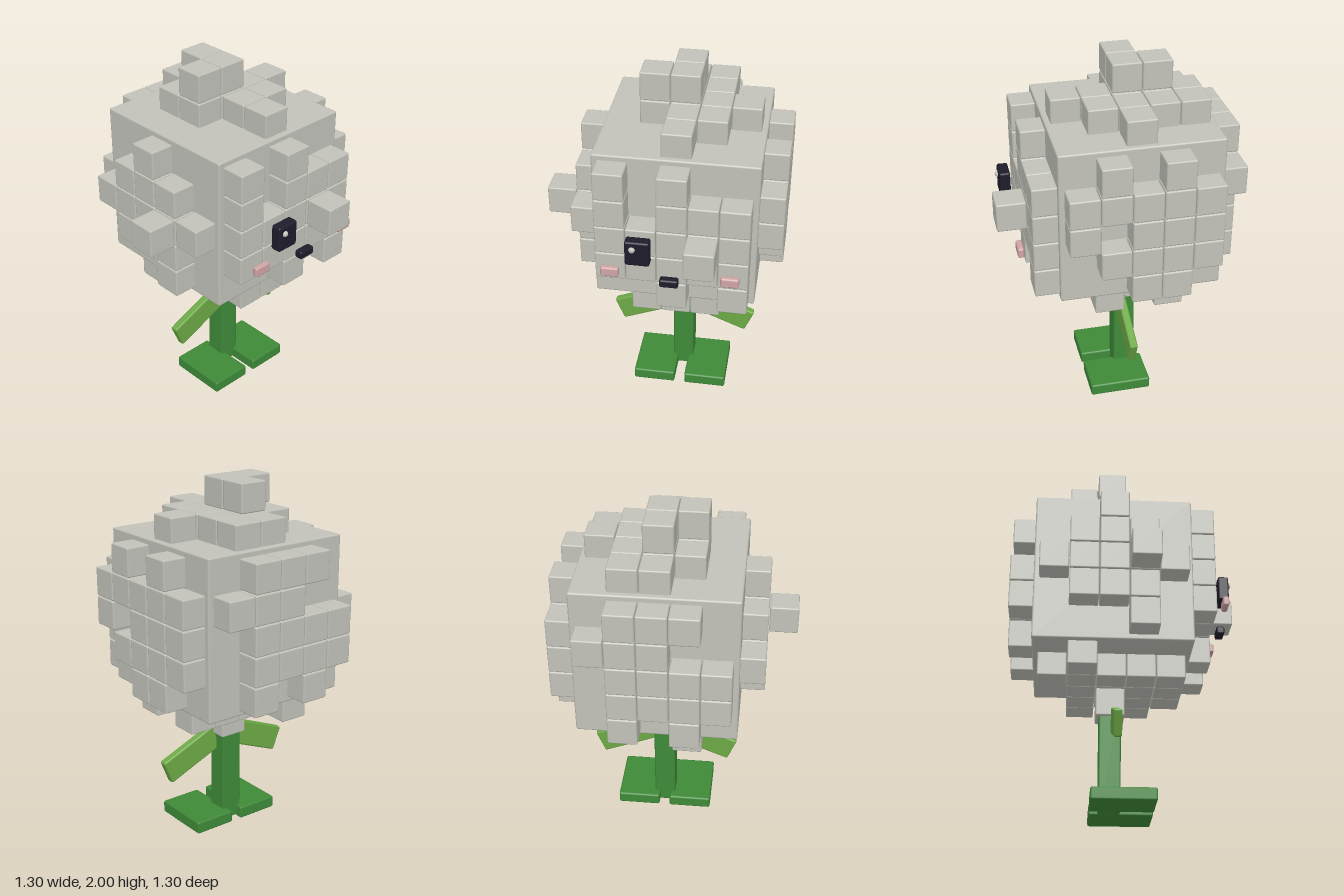
import * as THREE from 'three';
import { RoundedBoxGeometry } from 'three/addons/geometries/RoundedBoxGeometry.js';

const material = (name, color) => {
  const m = new THREE.MeshStandardMaterial({ color });
  m.name = name;
  return m;
};

// Axis of the plant and pitch of the block grid
const CX = 0.0815, CY = 1.267, CZ = -0.0815, PITCH = 0.163;

// 5 x 5 masks, '#' marks a block standing on the core.
// Side faces: rows run from top to bottom, columns along +x or +z.
// Top and bottom: rows run from back to front, columns along +x.
const FACES = {
  front: ['#.#..', '#.###', '#####', '#####', '..#.#'],
  back: ['.###.', '..###', '####.', '####.', '.#.#.'],
  left: ['.#.#.', '#####', '###.#', '####.', '.##..'],
  right: ['..#..', '.###.', '#####', '.###.', '...#.'],
  top: ['..##.', '.###.', '.####', '..##.', '..#..'],
  bottom: ['.#...', '#####', '.###.', '.####', '.###.'],
};

// Mask position to grid cell
const CELLS = {
  front: (c, r) => [c, -r, 3],
  back: (c, r) => [c, -r, -3],
  left: (c, r) => [3, -r, c],
  right: (c, r) => [-3, -r, c],
  top: (c, r) => [c, 3, r],
  bottom: (c, r) => [c, -3, r],
};

// Blocks of the outermost layer
const OUTER = [[-1, 4, 0], [0, 4, 0], [0, 4, -1], [1, 0, 4], [-4, 0, 1], [0, -4, 0]];

export function createModel() {
  const model = new THREE.Group();
  model.name = 'blockFlower';

  const grey = material('pale grey', 0xc2c2ba);
  const stemGreen = material('stem green', 0x3e8a38);
  const leafGreen = material('leaf green', 0x6ca945);
  const dark = material('dark navy', 0x1e1c2a);
  const pink = material('blush pink', 0xd0a5a5);

  const add = (parent, name, geometry, mat, x, y, z) => {
    const mesh = new THREE.Mesh(geometry, mat);
    mesh.name = name;
    mesh.position.set(x, y, z);
    parent.add(mesh);
    return mesh;
  };
  const box = (w, h, d, r = 0.01) => new RoundedBoxGeometry(w, h, d, 1, r);

  // Head: core with a shell of blocks
  const head = new THREE.Group();
  head.name = 'head';
  model.add(head);
  add(head, 'core', box(0.874, 0.872, 0.874), grey, CX, CY, CZ);

  const blockGeometry = box(0.16, 0.16, 0.16, 0.008);
  const addBlock = (parent, name, [i, j, k]) =>
    add(parent, name, blockGeometry, grey, CX + i * PITCH, CY + j * PITCH, CZ + k * PITCH);

  for (const face of Object.keys(FACES)) {
    const group = new THREE.Group();
    group.name = face + 'Blocks';
    head.add(group);
    FACES[face].forEach((row, r) => {
      [...row].forEach((mark, c) => {
        if (mark === '#') addBlock(group, face + 'Block', CELLS[face](c - 2, r - 2));
      });
    });
  }
  OUTER.forEach((cell) => addBlock(head, 'outerBlock', cell));

  // Face details, mirrored about the plant's axis
  for (const [side, s] of [['left', 1], ['right', -1]]) {
    add(model, side + 'Eye', box(0.13, 0.145, 0.06), dark, CX + s * 0.163, 1.267, 0.555);
    add(model, side + 'Cheek', box(0.098, 0.056, 0.034), pink, CX + s * 0.316, 1.117, 0.545);
    add(model, side + 'EyeGlint', new THREE.SphereGeometry(0.018, 12, 8), grey,
      CX + s * 0.163 - 0.025, 1.295, 0.583);
  }
  add(model, 'mouth', box(0.1, 0.046, 0.046), dark, CX, 1.088, 0.557);

  // Stem, feet and drooping leaves
  add(model, 'stem', box(0.122, 0.59, 0.122), stemGreen, CX, 0.3, CZ);
  for (const [side, s] of [['left', 1], ['right', -1]]) {
    add(model, side + 'Foot', box(0.245, 0.07, 0.35), stemGreen, CX + s * 0.153, 0.036, -0.015);
    const leaf = add(model, side + 'Leaf', box(0.365, 0.145, 0.046), leafGreen, CX + s * 0.226, 0.442, -0.054);
    leaf.rotation.z = -s * 0.389;
  }
  return model;
}
